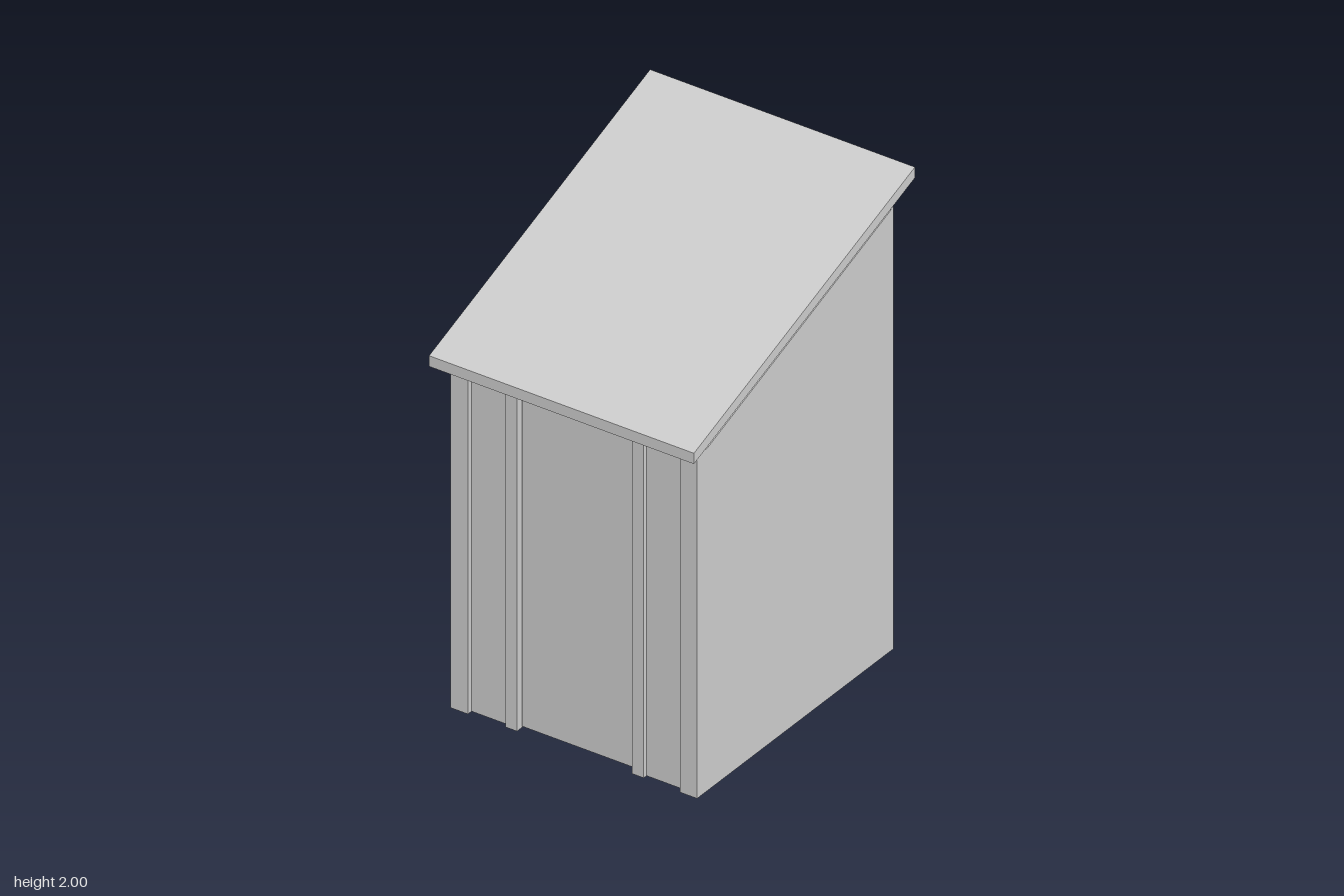
import * as THREE from 'three';

export function createModel() {
  const group = new THREE.Group();
  const grey = new THREE.MeshStandardMaterial({ color: 0xcccccc });
  grey.name = 'light grey';

  const add = (name, geometry) => {
    const mesh = new THREE.Mesh(geometry, grey);
    mesh.name = name;
    group.add(mesh);
    return mesh;
  };
  // box given by its limits on each axis
  const box = (name, x0, x1, y0, y1, z0, z1) =>
    add(name, new THREE.BoxGeometry(x1 - x0, y1 - y0, z1 - z0)
      .translate((x0 + x1) / 2, (y0 + y1) / 2, (z0 + z1) / 2));
  const shapeOf = (points) => new THREE.Shape(points.map(([a, b]) => new THREE.Vector2(a, b)));
  // outline in (x, y), pushed along z from z0 to z1
  const slabZ = (name, points, z0, z1) =>
    add(name, new THREE.ExtrudeGeometry(shapeOf(points), { depth: z1 - z0, bevelEnabled: false })
      .translate(0, 0, z0));
  // outline in (z, y), pushed along x from x0 to x1
  const slabX = (name, points, x0, x1) =>
    add(name, new THREE.ExtrudeGeometry(
      shapeOf(points.map(([z, y]) => [-z, y])), { depth: x1 - x0, bevelEnabled: false })
      .rotateY(Math.PI / 2).translate(x0, 0, 0));

  // sloping roof with upright cut ends
  slabX('roof', [[0.69, 1.46], [0.69, 1.505], [-0.69, 2], [-0.69, 1.955]], -0.575, 0.575);

  // paired parts
  for (const s of [-1, 1]) {
    const side = s > 0 ? 'left' : 'right';
    const pair = (name, a, b, ...rest) =>
      box(side + name, Math.min(s * a, s * b), Math.max(s * a, s * b), ...rest);
    slabX(side + 'Wall',
      [[0.613, 0], [0.613, 1.44], [0.55, 1.44], [-0.535, 1.83], [-0.598, 1.853], [-0.598, 0]],
      s > 0 ? 0.522 : -0.535, s > 0 ? 0.535 : -0.522);
    pair('FrontPost', 0.46, 0.522, 0, 1.445, 0.54, 0.613);
    pair('BackPost', 0.46, 0.522, 0, 1.86, -0.598, -0.535);
    pair('FrontPanel', 0.3, 0.46, 0, 1.43, 0.577, 0.59);
  }

  // door frame: two jambs and a lintel in one piece
  slabZ('doorFrame', [[-0.3, 0], [-0.25, 0], [-0.25, 1.43], [0.25, 1.43], [0.25, 0],
    [0.3, 0], [0.3, 1.475], [-0.3, 1.475]], 0.565, 0.608);
  box('door', -0.245, 0.245, 0.01, 1.42, 0.568, 0.583);

  // back wall with a vent slot open at the top
  slabZ('backWall', [[-0.535, 0], [0.535, 0], [0.535, 1.86], [0.07, 1.86], [0.07, 1.47],
    [-0.07, 1.47], [-0.07, 1.86], [-0.535, 1.86]], -0.612, -0.598);

  // bench across the back, with a small tray behind its front board
  box('benchFront', -0.522, 0.522, 0, 0.38, -0.193, -0.18);
  box('benchTop', -0.522, 0.522, 0.38, 0.393, -0.598, -0.18);
  box('tray', -0.11, 0.11, 0.24, 0.38, -0.28, -0.193);

  return group;
}
